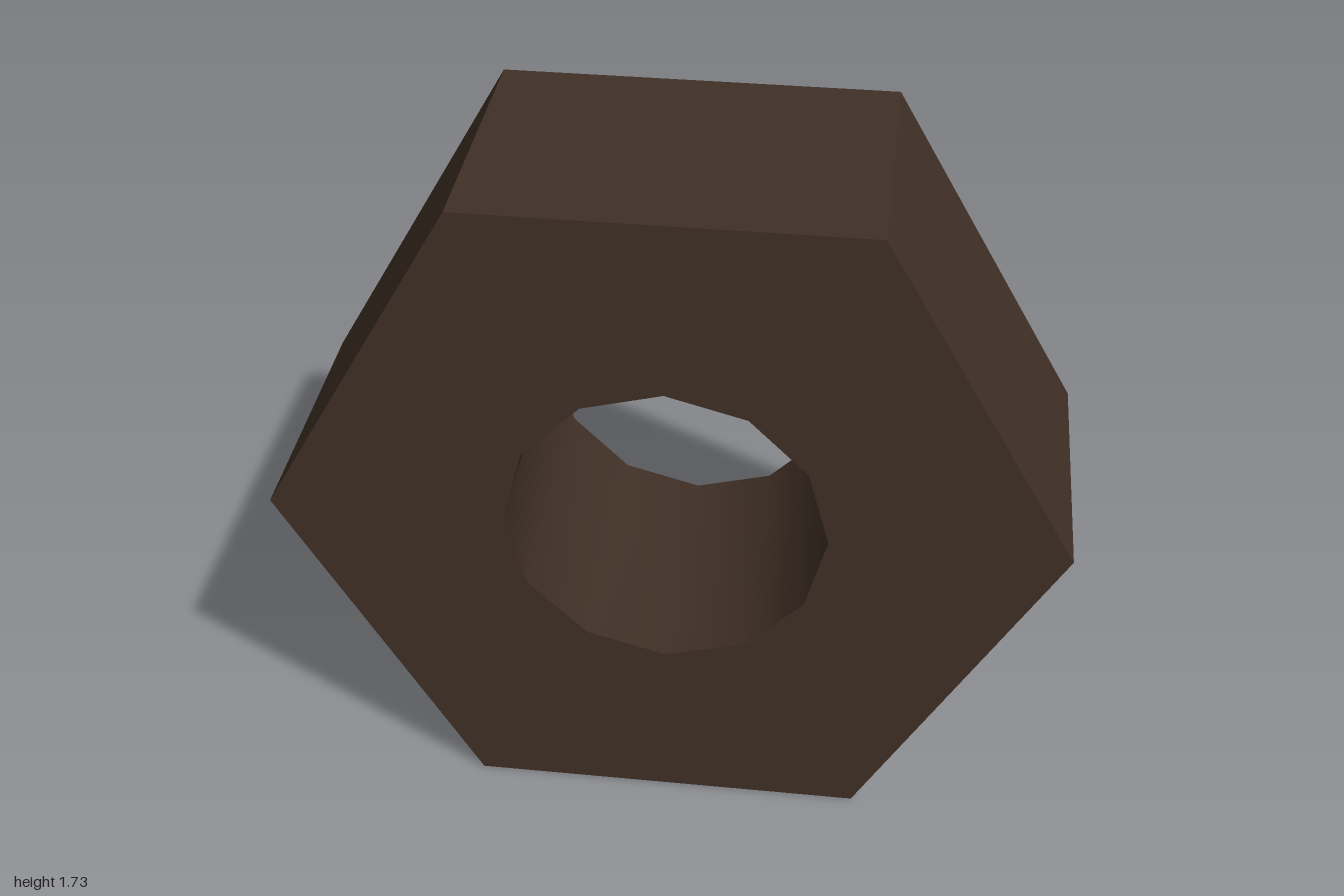
import * as THREE from 'three';
import { toCreasedNormals } from 'three/addons/utils/BufferGeometryUtils.js';

const HALF_HEIGHT = Math.sqrt(3) / 2;
const DEPTH = 0.725;

// Corners of a regular polygon, first corner on +x
function polygon(sides, radius) {
  return Array.from({ length: sides }, (_, i) => {
    const a = (i / sides) * Math.PI * 2;
    return new THREE.Vector2(Math.cos(a) * radius, Math.sin(a) * radius);
  });
}

export function createModel() {
  const group = new THREE.Group();
  group.name = 'hexNut';

  const darkBrown = new THREE.MeshStandardMaterial({ color: 0x403026 });
  darkBrown.name = 'darkBrown';

  // Hexagonal block with a twelve-sided bore
  const outline = new THREE.Shape(polygon(6, 1));
  outline.holes.push(new THREE.Path(polygon(12, 0.405).reverse()));
  const block = new THREE.ExtrudeGeometry(outline, { depth: DEPTH, bevelEnabled: false });
  block.translate(0, HALF_HEIGHT, -DEPTH / 2);

  // Bore shades smoothly (30 degree steps), hexagon edges stay sharp (60 degrees)
  const nut = new THREE.Mesh(toCreasedNormals(block, Math.PI / 4), darkBrown);
  nut.name = 'nutBody';
  group.add(nut);

  return group;
}
